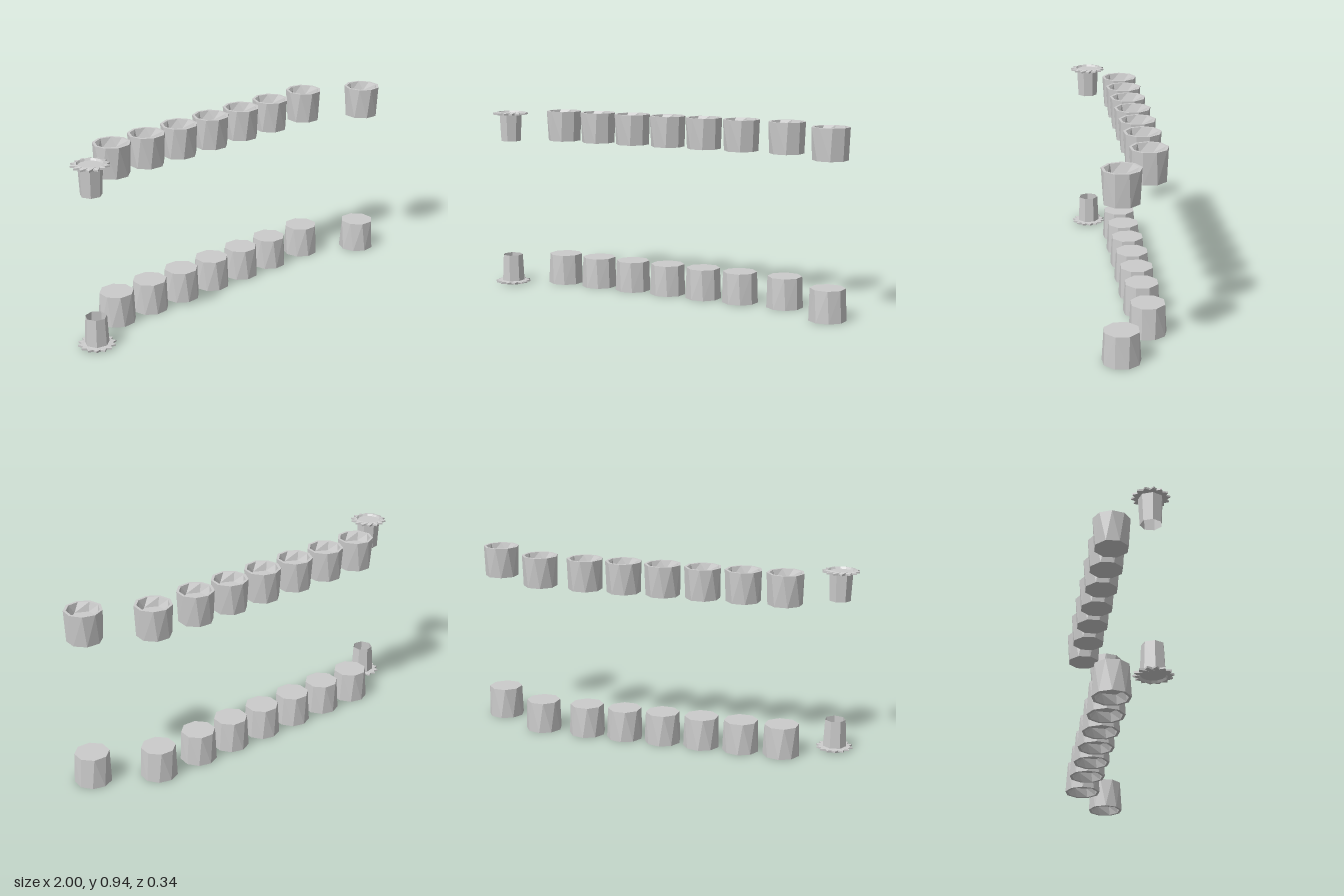
import * as THREE from 'three';

// One cross-section: n points at height y; r2 (if given) is the radius of every second point.
function ring(n, r, y, phase = 0, r2 = r) {
  const points = [];
  for (let i = 0; i < n; i++) {
    const a = phase + (i / n) * Math.PI * 2;
    const radius = i % 2 ? r2 : r;
    points.push([Math.cos(a) * radius, y, Math.sin(a) * radius]);
  }
  return points;
}

// Skins neighbouring rings with triangles, even where their point counts differ.
function skin(rings, mirrorY) {
  const out = [];
  const tri = (a, b, c) => {
    const order = mirrorY ? [a, c, b] : [a, b, c];
    for (const p of order) out.push(p[0], mirrorY ? -p[1] : p[1], p[2]);
  };
  for (let k = 0; k + 1 < rings.length; k++) {
    const a = rings[k], b = rings[k + 1];
    const na = a.length, nb = b.length;
    let i = 0, j = 0;
    while (i < na || j < nb) {
      const p = a[i % na], q = b[j % nb];
      if (j >= nb || (i < na && (i + 1) / na <= (j + 1) / nb)) {
        i++;
        if (na > 1) tri(p, q, a[i % na]);
      } else {
        j++;
        if (nb > 1) tri(p, q, b[j % nb]);
      }
    }
  }
  const geometry = new THREE.BufferGeometry();
  geometry.setAttribute('position', new THREE.Float32BufferAttribute(out, 3));
  geometry.computeVertexNormals();
  return geometry;
}

const PHASE = THREE.MathUtils.degToRad(25);
const HEIGHT = 0.158;
const TOP = 0.936;

// Faceted cup: octagonal base, nine-sided rim, shallow hexagonal recess
const cupRings = () => [
  ring(1, 0, 0),
  ring(8, 0.087, 0, PHASE),
  ring(9, 0.0935, HEIGHT, PHASE),
  ring(9, 0.08, HEIGHT, PHASE),
  ring(6, 0.068, HEIGHT - 0.045, PHASE),
  ring(1, 0, HEIGHT - 0.045),
];

// Plug: open tapered stem, toothed flange, slightly recessed cap
const plugRings = () => [
  ring(7, 0.053, 0, PHASE),
  ring(7, 0.06, 0.14, PHASE),
  ring(28, 0.093, 0.142, 0, 0.074),
  ring(28, 0.093, 0.15, 0, 0.074),
  ring(14, 0.064, 0.156),
  ring(14, 0.058, 0.146),
  ring(1, 0, 0.146),
];

export function createModel() {
  const model = new THREE.Group();
  const grey = new THREE.MeshStandardMaterial({ color: 0xcccccc, flatShading: true });
  const greyOpen = grey.clone();
  greyOpen.side = THREE.DoubleSide;

  const cupPositions = [
    [-0.667, -0.079], [-0.457, -0.079], [-0.25, -0.079], [-0.042, -0.079],
    [0.165, -0.079], [0.373, -0.079], [0.619, -0.079], [0.906, 0.079],
  ];

  // The lower row is the upper row mirrored top to bottom
  for (const lower of [false, true]) {
    const row = new THREE.Group();
    row.name = lower ? 'lowerRow' : 'upperRow';
    row.position.y = lower ? HEIGHT : TOP - HEIGHT;

    const cupGeometry = skin(cupRings(), lower);
    for (const [x, z] of cupPositions) {
      const cup = new THREE.Mesh(cupGeometry, grey);
      cup.name = 'cup';
      cup.position.set(x, 0, z);
      row.add(cup);
    }

    const plug = new THREE.Mesh(skin(plugRings(), lower), greyOpen);
    plug.name = 'toothedPlug';
    plug.position.set(-0.909, 0, 0.076);
    row.add(plug);
    model.add(row);
  }
  return model;
}
